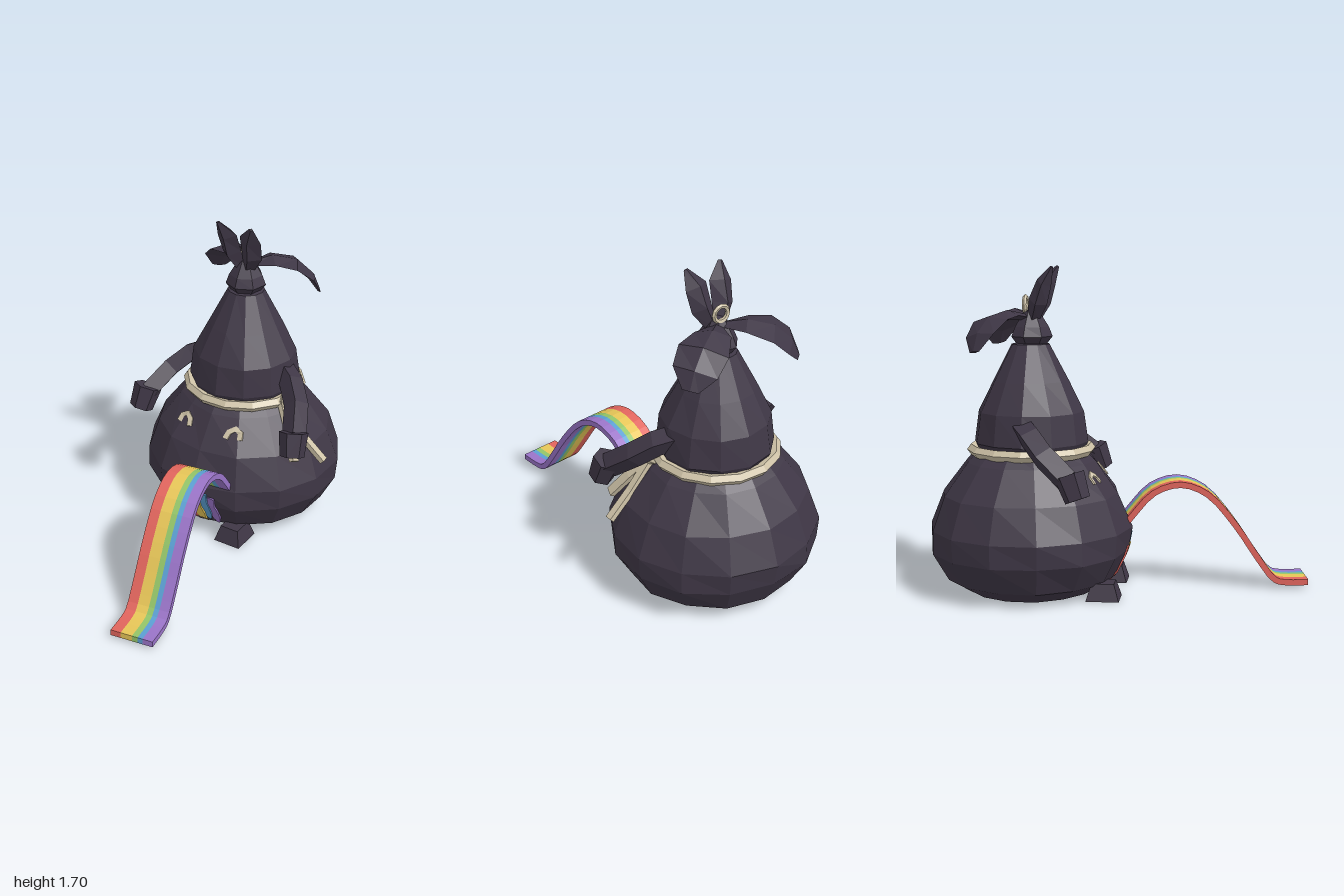
import * as THREE from 'three';

const V = (x, y, z) => new THREE.Vector3(x, y, z);
const paint = (name, color, flatShading = true) =>
  Object.assign(new THREE.MeshStandardMaterial({ color, flatShading }), { name });

const cloth = paint('dark cloth', 0x3f3746);
const rope = paint('rope cream', 0xcfc3a8);
const red = paint('red', 0xe0645c), yellow = paint('yellow', 0xe6c557);
const green = paint('green', 0x93c468), blue = paint('blue', 0x5b9fd2);
const purple = paint('purple', 0x9a74c8);

const CX = -0.015, CZ = -0.465;

// Sweeps a four-cornered section along a path. half(i) gives [half width, half thickness].
function loft(path, side, half, diamond = false) {
  const pos = [], idx = [], n = path.length;
  path.forEach((p, i) => {
    const t = path[Math.min(i + 1, n - 1)].clone().sub(path[Math.max(i - 1, 0)]).normalize();
    const s = side.clone().addScaledVector(t, -side.dot(t)).normalize();
    const u = t.clone().cross(s);
    const [w, h] = half(i);
    const corners = diamond ? [[1, 0], [0, 1], [-1, 0], [0, -1]] : [[1, 1], [-1, 1], [-1, -1], [1, -1]];
    for (const [a, b] of corners) pos.push(...p.clone().addScaledVector(s, a * w).addScaledVector(u, b * h));
  });
  for (let i = 0; i < n - 1; i++) for (let j = 0; j < 4; j++) {
    const a = i * 4 + j, b = i * 4 + (j + 1) % 4;
    idx.push(a, b, a + 4, b, b + 4, a + 4);
  }
  const e = (n - 1) * 4;
  idx.push(0, 2, 1, 0, 3, 2, e, e + 1, e + 2, e, e + 2, e + 3);
  const g = new THREE.BufferGeometry();
  g.setAttribute('position', new THREE.Float32BufferAttribute(pos, 3));
  g.setIndex(idx);
  g.computeVertexNormals();
  return g;
}

// Lathed cloth with slightly uneven facets
function sack(profile, segments, wobble, zScale) {
  const g = new THREE.LatheGeometry(profile.map(([r, y]) => new THREE.Vector2(r, y)), segments);
  const p = g.attributes.position;
  for (let i = 0; i < p.count; i++) {
    const x = p.getX(i), y = p.getY(i), z = p.getZ(i);
    const k = 1 + wobble * Math.sin(x * 17 + y * 23 + z * 11);
    p.setXYZ(i, x * k, y, z * k * zScale);
  }
  g.computeVertexNormals();
  return g;
}

export function createModel() {
  const root = new THREE.Group();
  const add = (name, geo, mat, x = 0, y = 0, z = 0) => {
    const m = new THREE.Mesh(geo, mat);
    m.name = name;
    m.position.set(x, y, z);
    root.add(m);
    return m;
  };

  // Sack body and hood
  const body = add('body', sack([[0, 0.005], [0.34, 0.005], [0.46, 0.075], [0.54, 0.22], [0.55, 0.34],
    [0.48, 0.52], [0.35, 0.69], [0.28, 0.76]], 14, 0.012, 0.973), cloth, CX, 0, CZ);
  add('hood', sack([[0.27, 0.73], [0.3, 0.79], [0.28, 0.95], [0.2, 1.11], [0.1, 1.3], [0, 1.32]],
    12, 0.012, 1), cloth, CX, 0, -0.46);
  add('topKnot', sack([[0, 1.28], [0.065, 1.28], [0.11, 1.34], [0.09, 1.39], [0.04, 1.47], [0, 1.48]],
    7, 0.02, 1), cloth, CX, 0, -0.455);

  // Belt rope with its knot and two loose ends
  const belt = add('belt', new THREE.TorusGeometry(0.308, 0.03, 5, 14), rope, CX, 0.75, -0.46);
  belt.rotation.x = Math.PI / 2;
  add('beltKnot', new THREE.IcosahedronGeometry(0.045, 0), rope, 0.3, 0.745, -0.36);
  add('ropeEndBack', loft([V(0.29, 0.74, -0.35), V(0.42, 0.58, -0.35), V(0.55, 0.46, -0.36)],
    V(0, 0, 1), () => [0.02, 0.014]), rope);
  add('ropeEndFront', loft([V(0.29, 0.74, -0.35), V(0.38, 0.62, -0.28), V(0.45, 0.5, -0.21)],
    V(0, 0, 1), () => [0.025, 0.014]), rope);

  // Hanging ring behind the knot
  add('ring', new THREE.TorusGeometry(0.04, 0.012, 5, 12), rope, CX, 1.505, -0.485);

  for (const s of [1, -1]) {
    const at = (x, y, z) => V(CX + s * x, y, z);
    const label = s > 0 ? 'left' : 'right';
    // Arms and hands
    add(label + 'Arm', loft([at(0.24, 0.88, -0.46), at(0.32, 0.85, -0.41), at(0.4, 0.77, -0.33), at(0.465, 0.66, -0.2)],
      V(s * 0.7, 0.7, 0), () => [0.046, 0.046]), cloth);
    const hand = add(label + 'Hand', new THREE.CylinderGeometry(0.078, 0.065, 0.13, 6), cloth, CX + s * 0.475, 0.632, -0.17);
    hand.rotation.set(-0.35, 0, s * 0.15);
    // Feet
    const foot = add(label + 'Foot', new THREE.CylinderGeometry(0.075, 0.11, 0.088, 4, 1), cloth, CX + s * 0.195, 0.044, -0.055);
    foot.geometry.rotateY(Math.PI / 4);
    foot.scale.z = 1.1;
    // Upright and drooping flaps of the tied top
    const wUp = [0.03, 0.06, 0.062, 0.012], hUp = [0.03, 0.05, 0.04, 0.008];
    add(label + 'UprightFlap', loft([at(0.02, 1.42, -0.445), at(0.06, 1.52, -0.41), at(0.07, 1.62, -0.375), at(0.1, 1.7, -0.33)],
      V(1, 0, 0), i => [wUp[i], hUp[i]], true), cloth);
    const wSide = [0.03, 0.09, 0.125, 0.11, 0.04], hSide = [0.015, 0.025, 0.025, 0.02, 0.008];
    add(label + 'DroopingFlap', loft([at(0.02, 1.44, -0.48), at(0.1, 1.455, -0.56), at(0.2, 1.43, -0.63),
      at(0.275, 1.36, -0.67), at(0.315, 1.28, -0.69)], V(s * 0.7, 0, 0.7), i => [wSide[i], hSide[i]], true), cloth);
  }

  // Finds the front surface of the body, for details laid on it
  root.updateMatrixWorld(true);
  const ray = new THREE.Raycaster();
  const onBody = (x, y) => {
    ray.set(V(x, y, 2), V(0, 0, -1));
    const hit = ray.intersectObject(body)[0];
    return V(x, y, hit ? hit.point.z + 0.004 : CZ);
  };

  // Smiling arched eyes
  for (const [name, x] of [['rightEye', -0.17], ['leftEye', 0.14]]) {
    const arch = [[-0.038, -0.03], [-0.03, 0], [0, 0.018], [0.03, 0], [0.038, -0.03]];
    add(name, loft(arch.map(([dx, dy]) => onBody(x + dx, 0.628 + dy)), V(0, 0.6, 0.8), () => [0.0045, 0.015]), rope);
  }

  // Coloured drips under the mouth
  const dripW = [0.02, 0.02, 0.028, 0.026, 0.01];
  for (const [name, mat, x, top, low] of [['redDrip', red, -0.042, 0.24, 0.06], ['yellowDrip', yellow, 0.005, 0.25, 0.05],
    ['blueDrip', blue, 0.047, 0.3, 0.1], ['purpleDrip', purple, 0.09, 0.28, 0.08]]) {
    const path = dripW.map((_, i) => onBody(x, top + (low - top) * i / 4));
    add(name, loft(path, V(1, 0, 0), i => [dripW[i], 0.0045]), mat);
  }

  // Rainbow arching out of the mouth and flattening on the ground
  const curve = new THREE.CatmullRomCurve3([[-0.04, 0.28], [0.05, 0.39], [0.17, 0.52], [0.31, 0.563], [0.45, 0.51],
    [0.6, 0.34], [0.72, 0.16], [0.81, 0.045], [0.87, 0.03], [0.985, 0.03]].map(([z, y]) => V(0.07 + z * 0.16, y, z)));
  const spine = curve.getPoints(27);
  const across = V(1, 0, -0.16).normalize();
  let edge = -0.115;
  for (const [name, mat, width] of [['redBand', red, 0.055], ['yellowBand', yellow, 0.062], ['greenBand', green, 0.031],
    ['blueBand', blue, 0.027], ['purpleBand', purple, 0.055]]) {
    const mid = edge + width / 2;
    add(name, loft(spine.map(p => p.clone().addScaledVector(across, mid)), across, () => [width / 2, 0.016]), mat);
    edge += width;
  }
  return root;
}
